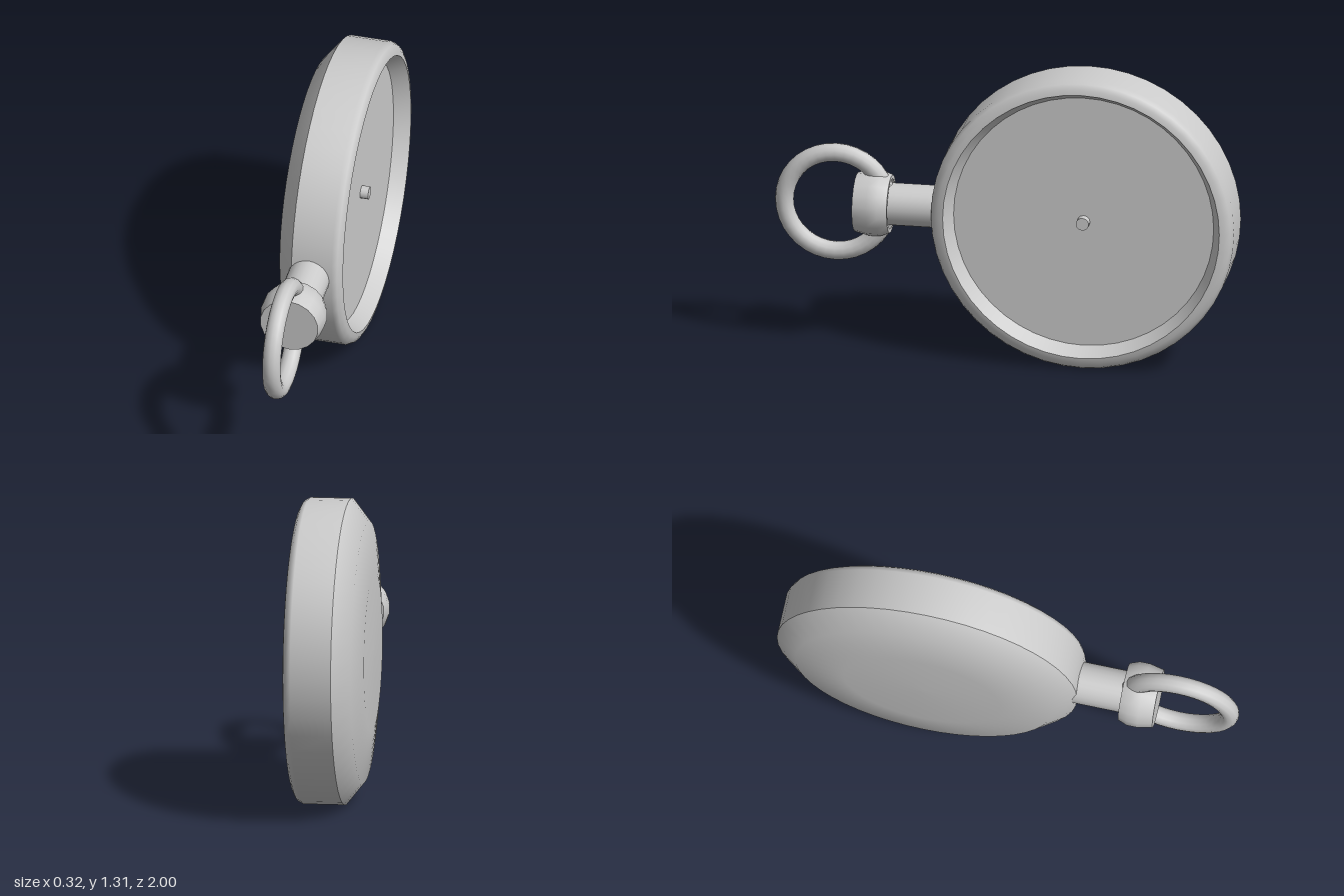
import * as THREE from 'three';

const material = new THREE.MeshStandardMaterial({ color: 0xcccccc });
const CY = 0.657; // height of the shared axis
const CX = 0.02; // middle of the stem, crown and bow

// Smooth lathe bands, split where the profile has a sharp edge.
// Each profile is a list of [radius, distance along axis].
function turned(name, bands, segments, orient) {
  const group = new THREE.Group();
  group.name = name;
  for (const band of bands) {
    const geometry = new THREE.LatheGeometry(band.map(([r, d]) => new THREE.Vector2(r, d)), segments);
    orient(geometry);
    group.add(new THREE.Mesh(geometry, material));
  }
  group.children.forEach((mesh, i) => { mesh.name = `${name}Surface${i + 1}`; });
  return group;
}

const alongX = (g) => g.rotateZ(-Math.PI / 2);
const alongZ = (g) => g.rotateX(Math.PI / 2);

export function createModel() {
  const model = new THREE.Group();
  model.name = 'pocketWatch';

  // Case: domed back, straight side, rounded lip and sloping inner wall
  const watchCase = turned('case', [
    [[0, -0.163], [0.34, -0.16], [0.56, -0.13], [0.655, -0.055]],
    [[0.655, -0.055], [0.655, 0.12], [0.643, 0.142], [0.62, 0.154], [0.598, 0.158]],
    [[0.598, 0.158], [0.562, 0.09]],
  ], 48, alongX);
  watchCase.position.set(0, CY, -0.345);
  model.add(watchCase);

  // Dial with its centre pin
  const dial = turned('dial', [[[0.562, 0.09], [0, 0.09]]], 48, alongX);
  dial.position.copy(watchCase.position);
  model.add(dial);

  const pin = new THREE.Mesh(alongX(new THREE.CylinderGeometry(0.028, 0.028, 0.04, 12)), material);
  pin.name = 'centrePin';
  pin.position.set(0.105, CY, -0.345);
  model.add(pin);

  // Stem between case and crown
  const stem = new THREE.Mesh(alongZ(new THREE.CylinderGeometry(0.091, 0.091, 0.29, 24)), material);
  stem.name = 'stem';
  stem.position.set(CX, CY + 0.003, 0.415);
  model.add(stem);

  // Barrel-shaped crown, recessed around the stem
  const crown = turned('crown', [
    [[0.08, 0.53], [0.108, 0.53]],
    [[0.108, 0.53], [0.108, 0.498]],
    [[0.108, 0.498], [0.125, 0.498]],
    [[0.125, 0.498], [0.141, 0.54], [0.141, 0.585], [0.127, 0.648]],
    [[0.127, 0.648], [0, 0.648]],
  ], 18, alongZ);
  crown.position.set(CX, CY + 0.003, 0);
  model.add(crown);

  // Bow: the ring passing through the crown
  const bow = new THREE.Mesh(new THREE.TorusGeometry(0.223, 0.04, 12, 36).rotateY(Math.PI / 2), material);
  bow.name = 'bow';
  bow.position.set(CX, CY, 0.737);
  model.add(bow);

  return model;
}
